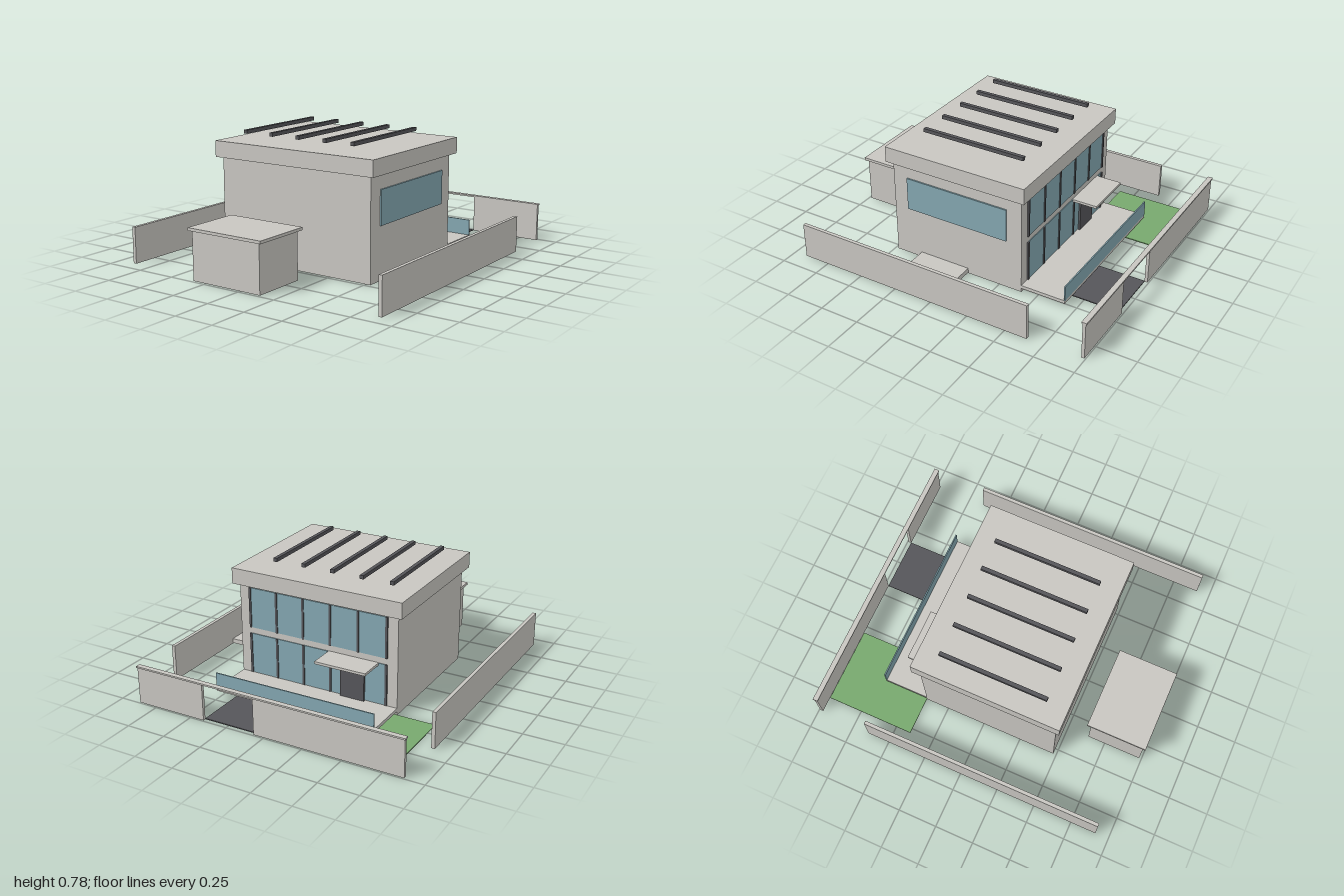
import * as THREE from 'three';

const material = (name, color) => {
  const m = new THREE.MeshStandardMaterial({ color });
  m.name = name;
  return m;
};

export function createModel() {
  const model = new THREE.Group();
  model.name = 'house';
  const concrete = material('concrete', 0xc8c6c1);
  const dark = material('dark metal and paving', 0x56565a);
  const glass = material('glass', 0x84a7b1);
  const grass = material('grass', 0x78a86e);

  // Box given by its limits along each axis
  const box = (name, mat, [x0, x1], [y0, y1], [z0, z1], parent = model) => {
    const mesh = new THREE.Mesh(new THREE.BoxGeometry(x1 - x0, y1 - y0, z1 - z0), mat);
    mesh.position.set((x0 + x1) / 2, (y0 + y1) / 2, (z0 + z1) / 2);
    mesh.name = name;
    parent.add(mesh);
    return mesh;
  };
  const group = (name) => {
    const g = new THREE.Group();
    g.name = name;
    model.add(g);
    return g;
  };

  // House body and roof
  box('houseBody', concrete, [-0.535, 0.532], [0, 0.63], [-0.4, 0.48]);
  box('roof', concrete, [-0.57, 0.566], [0.625, 0.725], [-0.433, 0.51]);

  // Beams above the roof
  const beams = group('roofBeams');
  for (let i = 0; i < 5; i++) {
    const x = -0.44 + i * 0.195;
    box('roofBeam', dark, [x - 0.012, x + 0.012], [0.761, 0.784], [-0.302, 0.38], beams);
  }

  // Window on the side
  box('sideWindow', glass, [0.532, 0.541], [0.325, 0.535], [-0.302, 0.383]);

  // Two rows of glazing with mullions at the back
  for (const [name, y] of [['lowerWindows', [0.05, 0.31]], ['upperWindows', [0.35, 0.608]]]) {
    const row = group(name);
    box('glazing', glass, [-0.465, 0.462], y, [-0.405, -0.398], row);
    for (let i = 0; i < 6; i++) {
      const x = -0.463 + i * 0.1846;
      box('mullion', dark, [x - 0.007, x + 0.007], y, [-0.41, -0.398], row);
    }
  }

  // Back door and its canopy
  box('backDoor', dark, [-0.325, -0.165], [0.045, 0.275], [-0.418, -0.398]);
  box('doorCanopy', concrete, [-0.412, -0.08], [0.295, 0.311], [-0.566, -0.4]);

  // Terrace with glass railing
  box('terrace', concrete, [-0.535, 0.532], [0.025, 0.046], [-0.688, -0.4]);
  box('glassRailing', glass, [-0.535, 0.532], [0.046, 0.145], [-0.69, -0.682]);

  // Low slab beside the house
  box('sideSlab', concrete, [0.532, 0.867], [0.004, 0.034], [-0.033, 0.302]);

  // Front outbuilding
  box('outbuilding', concrete, [-0.342, 0.143], [0, 0.296], [0.64, 0.985]);
  box('outbuildingRoof', concrete, [-0.362, 0.164], [0.296, 0.314], [0.62, 1]);

  // Garden walls: two sides, and a back wall with a gateway
  for (const side of [-1, 1]) {
    const x = side * 0.878;
    box('sideWall', concrete, [x - 0.011, x + 0.011], [0, 0.226], [-0.643, 0.915]);
  }
  box('backWall', concrete, [-0.876, 0.068], [0, 0.23], [-0.993, -0.974]);
  box('backWall', concrete, [0.412, 0.872], [0, 0.23], [-0.993, -0.974]);
  box('backWallCoping', concrete, [-0.88, 0.876], [0.23, 0.24], [-1, -0.968]);

  // Ground surfaces
  box('lawn', grass, [-0.78, -0.295], [-0.001, 0.005], [-0.972, -0.402]);
  box('driveway', dark, [0.068, 0.412], [-0.001, 0.005], [-0.974, -0.402]);

  return model;
}
